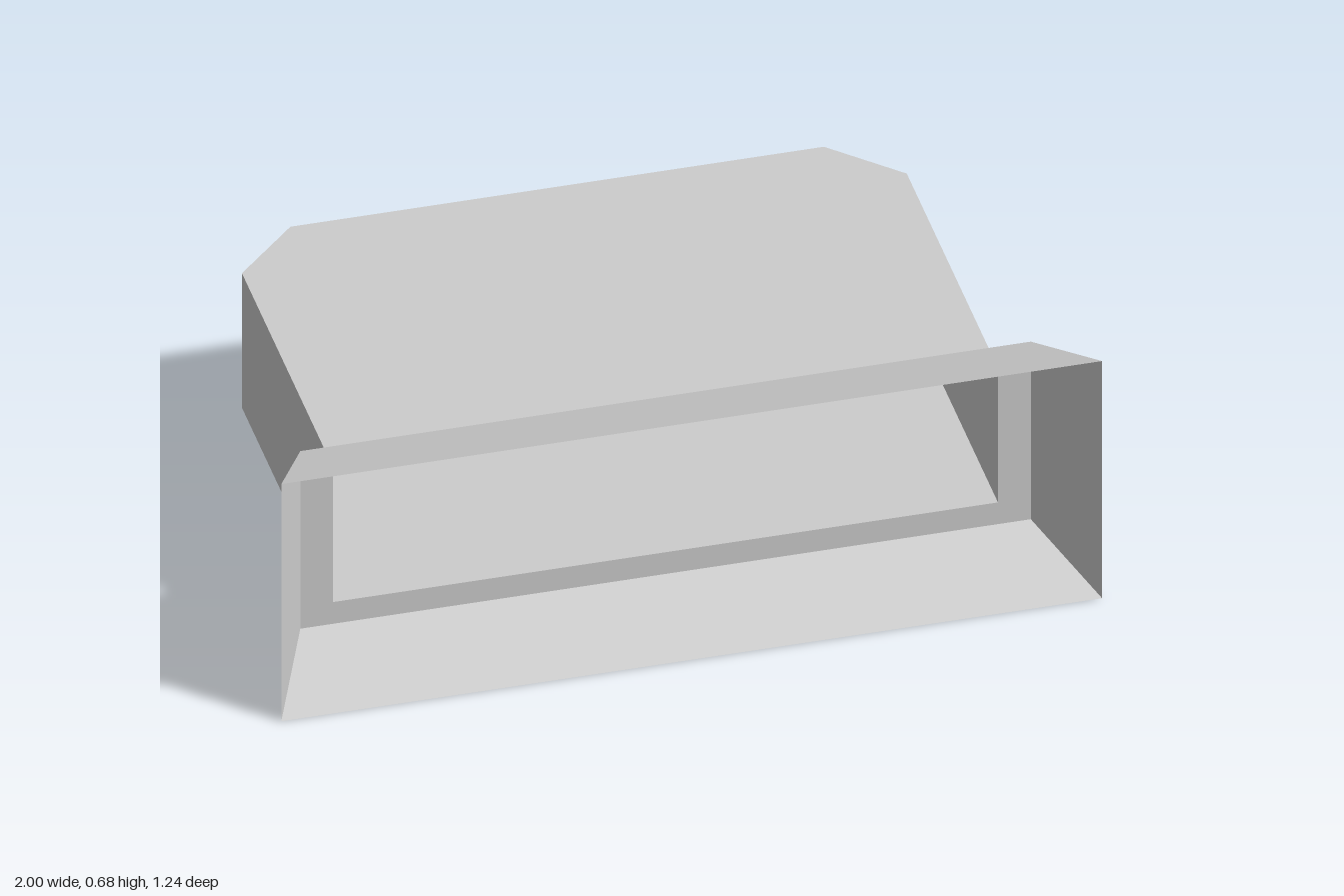
import * as THREE from 'three';

// Open, thin-walled housing with a flared front frame
const grey = new THREE.MeshStandardMaterial({ name: 'grey', color: 0xcccccc, side: THREE.DoubleSide });

function addMesh(parent, name, geometry) {
  const mesh = new THREE.Mesh(geometry, grey);
  mesh.name = name;
  parent.add(mesh);
  return mesh;
}

// Flat-shaded strip of quads joining two rows of points
function strip(rowA, rowB, closed) {
  const pos = [];
  const n = rowA.length;
  for (let i = 0; i < (closed ? n : n - 1); i++) {
    const j = (i + 1) % n;
    pos.push(...rowA[i], ...rowB[j], ...rowA[j], ...rowA[i], ...rowB[i], ...rowB[j]);
  }
  const g = new THREE.BufferGeometry();
  g.setAttribute('position', new THREE.Float32BufferAttribute(pos, 3));
  g.computeVertexNormals();
  return g;
}

// Corners of an upright rectangle, anticlockwise from the front
const rect = (x, y0, y1, z) => [[-x, y0, z], [x, y0, z], [x, y1, z], [-x, y1, z]];
const toShape = (pts) => new THREE.Shape(pts.map(([x, y]) => new THREE.Vector2(x, y)));

export function createModel() {
  const model = new THREE.Group();
  model.name = 'flaredHousing';

  const bottom = 0.148, top = 0.532, frameZ = 0.378;
  const rim = rect(1, 0, 0.677, 0.618);
  const frame = rect(0.89, 0.086, 0.593, frameZ);
  const opening = rect(0.81, bottom, top, frameZ);

  // Flared front collar
  addMesh(model, 'flaredCollar', strip(rim, frame, true));

  // Flat ring between the collar and the body
  const ring = toShape(frame);
  ring.holes.push(toShape(opening));
  addMesh(model, 'frameRing', new THREE.ShapeGeometry(ring)).position.z = frameZ;

  // Body plan as [x, z], with clipped back corners
  const plan = [[0.81, frameZ], [0.81, -0.46], [0.65, -0.618], [-0.65, -0.618], [-0.81, -0.46], [-0.81, frameZ]];
  const row = (y) => plan.map(([x, z]) => [x, y, z]);
  addMesh(model, 'bodyWalls', strip(row(top), row(bottom), false));

  // Roof and floor
  const panel = toShape(plan.map(([x, z]) => [x, -z]));
  const roof = addMesh(model, 'roof', new THREE.ShapeGeometry(panel).rotateX(-Math.PI / 2));
  roof.position.y = top;
  const floorShape = toShape(plan);
  const floor = addMesh(model, 'floor', new THREE.ShapeGeometry(floorShape).rotateX(Math.PI / 2));
  floor.position.y = bottom;

  return model;
}
